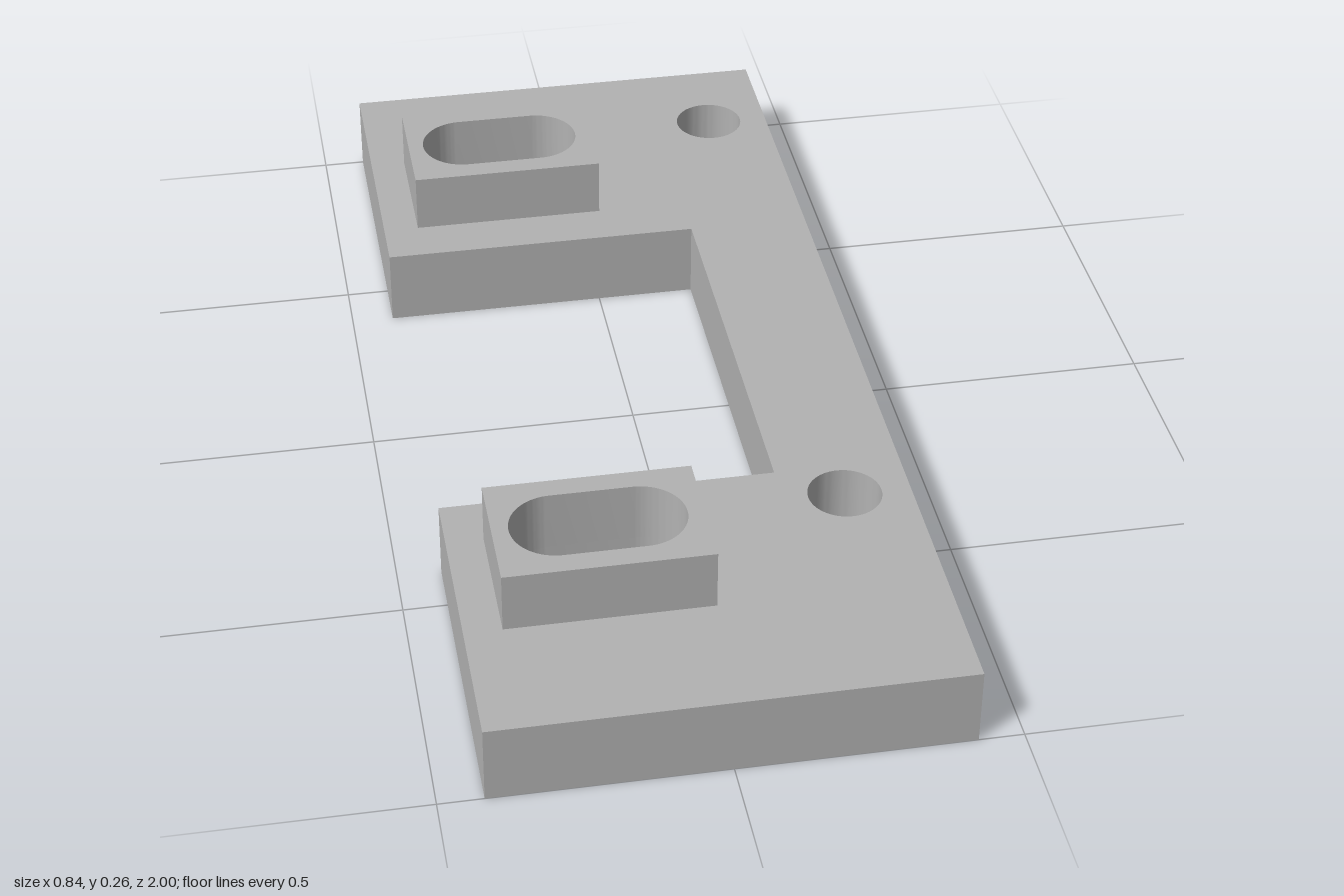
import * as THREE from 'three';
import { toCreasedNormals } from 'three/addons/utils/BufferGeometryUtils.js';

const PLATE_H = 0.147, PAD_H = 0.113;
const PAD_X = -0.168, PAD_W = 0.369, PAD_D = 0.247;
const SLOT_R = 0.082, SLOT_HALF = 0.073; // end radius, half the straight run
const PAD_Z = [-0.622, 0.629];
const HOLES = [[0.3, -0.802], [0.3, 0.487]];

// Outlines are drawn in (x, -z), then extruded upwards
const outline = (points) => new THREE.Shape(points.map(([x, z]) => new THREE.Vector2(x, -z)));

function slotPath(x, z) {
  const path = new THREE.Path();
  path.absarc(x + SLOT_HALF, -z, SLOT_R, -Math.PI / 2, Math.PI / 2, false);
  path.absarc(x - SLOT_HALF, -z, SLOT_R, Math.PI / 2, Math.PI * 1.5, false);
  path.closePath();
  return path;
}

function extrudeUp(shape, depth) {
  const geometry = new THREE.ExtrudeGeometry(shape, { depth, bevelEnabled: false, curveSegments: 32 });
  geometry.rotateX(-Math.PI / 2);
  return toCreasedNormals(geometry, Math.PI / 6);
}

export function createModel() {
  const group = new THREE.Group();
  group.name = 'mountingBracket';
  const grey = new THREE.MeshStandardMaterial({ color: 0xb2b2b2 });
  grey.name = 'grey';

  // C-shaped base plate with two round holes and two slots
  const plateShape = outline([
    [-0.42, 1], [0.42, 1], [0.42, -1], [-0.42, -1],
    [-0.42, -0.402], [0.188, -0.402], [0.188, 0.407], [-0.42, 0.407],
  ]);
  for (const [x, z] of HOLES) {
    plateShape.holes.push(new THREE.Path().absarc(x, -z, 0.067, 0, Math.PI * 2, true));
  }
  for (const z of PAD_Z) plateShape.holes.push(slotPath(PAD_X, z));
  const plate = new THREE.Mesh(extrudeUp(plateShape, PLATE_H), grey);
  plate.name = 'basePlate';
  group.add(plate);

  // Raised rectangular pads, slotted right through
  PAD_Z.forEach((z, i) => {
    const w = PAD_W / 2, d = PAD_D / 2;
    const shape = outline([
      [PAD_X - w, z + d], [PAD_X + w, z + d], [PAD_X + w, z - d], [PAD_X - w, z - d],
    ]);
    shape.holes.push(slotPath(PAD_X, z));
    const pad = new THREE.Mesh(extrudeUp(shape, PAD_H), grey);
    pad.name = i ? 'frontPad' : 'backPad';
    pad.position.y = PLATE_H;
    group.add(pad);
  });

  return group;
}
